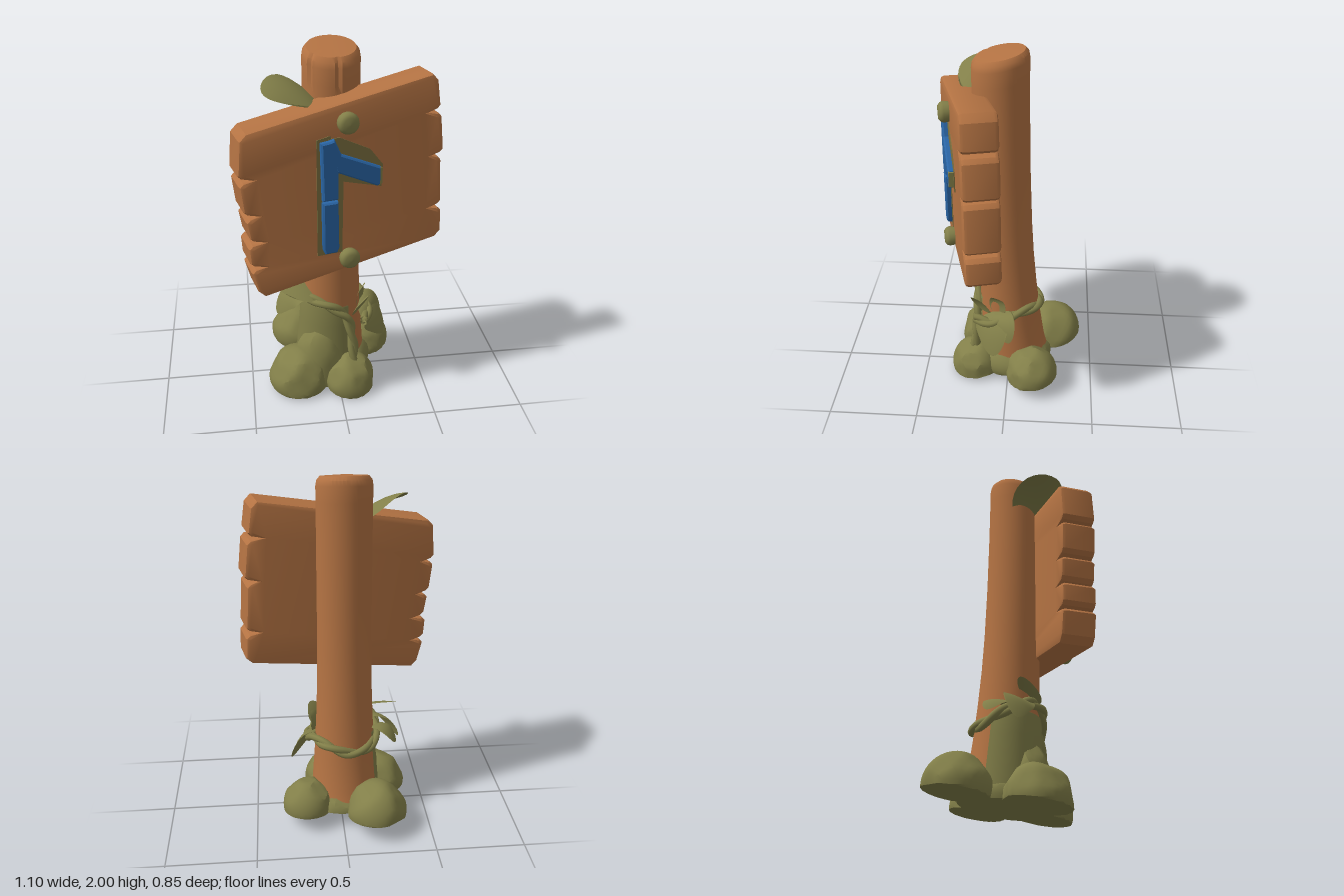
import * as THREE from 'three';
import { toCreasedNormals } from 'three/addons/utils/BufferGeometryUtils.js';

const V = (x, y, z) => new THREE.Vector3(x, y, z);

// the underside lies on a gently sloping plane
const ground = z => 0.052 - 0.157 * z;

// apply a rule to every vertex
function warp(geo, rule) {
  const p = geo.attributes.position, v = V(0, 0, 0);
  for (let i = 0; i < p.count; i++) {
    v.fromBufferAttribute(p, i);
    rule(v);
    p.setXYZ(i, v.x, v.y, v.z);
  }
  geo.computeVertexNormals();
  return geo;
}

// post lean, slanted top and flat foot sunk into the rocks
function bendPost(v) {
  const y = v.y;
  if (y > 1.8) { // splits in the rim
    const a = Math.atan2(v.x, v.z);
    for (const split of [0.131, -0.916]) {
      if (Math.abs(a - split) < 0.04) { v.x *= 0.93; v.z *= 0.93; }
    }
  }
  v.y -= 0.2 * v.z * THREE.MathUtils.smoothstep(y, 1.2, 1.9);
  v.x -= 0.025;
  v.z += 0.045 - 0.08 * (1 - y / 2) ** 2;
  v.y = Math.max(v.y, ground(v.z) + 0.03);
}

// rounded rock: a ball with a few planes shaved off, flattened on the ground
function rock(x, z, rx, ry, rz, seed) {
  let s = seed;
  const rnd = () => (s = (s * 16807) % 2147483647) / 2147483647;
  for (let i = 0; i < 5; i++) rnd();
  const cuts = [];
  for (let i = 0; i < 14; i++) {
    const a = rnd() * Math.PI * 2, h = rnd() * 1.1 - 0.1;
    const r = Math.sqrt(1 - Math.min(1, h * h));
    cuts.push(V(r * Math.cos(a), h, r * Math.sin(a)).normalize());
  }
  const geo = warp(new THREE.IcosahedronGeometry(1, 6), v => {
    for (const c of cuts) {
      const d = v.dot(c);
      if (d > 0.92) v.multiplyScalar(0.92 / d);
    }
    v.set(x + v.x * rx, ground(z) + 0.03 + v.y * ry, z + v.z * rz);
    v.y = Math.max(v.y, ground(v.z));
  });
  return toCreasedNormals(geo, 0.5);
}

// solid curved leaf along base - mid - tip
function leaf(base, mid, tip, width, sideHint) {
  const curve = new THREE.QuadraticBezierCurve3(V(...base), V(...mid), V(...tip));
  const frame = t => {
    const tan = curve.getTangent(t), hint = V(...sideHint);
    const side = hint.clone().addScaledVector(tan, -tan.dot(hint)).normalize();
    return { side, nor: side.clone().cross(tan) };
  };
  const up = Math.sign(frame(0.5).nor.y);
  return warp(new THREE.SphereGeometry(1, 16, 14), v => {
    const t = THREE.MathUtils.clamp((v.y + 1) / 2, 0, 1);
    const { side, nor } = frame(t);
    const w = v.x * width * (1.1 - 0.3 * t);
    const dish = -0.15 * width * v.x * v.x * up;
    v.copy(curve.getPoint(t)).addScaledVector(side, w).addScaledVector(nor, v.z * 0.02 + dish);
  });
}

// flat polygon with bevelled rim
function slab(points, depth, bevel, segments = 2) {
  const shape = new THREE.Shape(points.map(p => new THREE.Vector2(p[0], p[1])));
  const geo = new THREE.ExtrudeGeometry(shape, {
    depth: depth - 2 * bevel, bevelEnabled: bevel > 0, bevelThickness: bevel,
    bevelSize: bevel, bevelOffset: -bevel, bevelSegments: segments,
  });
  geo.translate(0, 0, bevel);
  return toCreasedNormals(geo, 0.4);
}

// one ragged board end, listed upwards; planks are [y0, y1, x0, x1]
function boardEnd(s, planks) {
  const pts = [], last = planks.length - 1;
  planks.forEach(([y0, y1, x0, x1], i) => {
    const c0 = i ? 0.02 : 0.035, c1 = i < last ? 0.02 : 0.035;
    if (i) pts.push([x0 - s * 0.065, (planks[i - 1][1] + y0) / 2]);
    pts.push([x0 - s * c0, y0], [x0, y0 + c0], [x1, y1 - c1], [x1 - s * c1, y1]);
  });
  return pts;
}

export function createModel() {
  const mat = (name, color) => Object.assign(new THREE.MeshStandardMaterial({ color }), { name });
  const wood = mat('wood', 0xb47343);
  const moss = mat('moss', 0x827f49);
  moss.side = THREE.DoubleSide;
  const blue = mat('bluePaint', 0x2a66a6);
  const stain = mat('mossyStain', 0x7c7040);

  const model = new THREE.Group();
  model.name = 'signpost';
  const add = (parent, name, geo, material) => {
    const m = new THREE.Mesh(geo, material);
    m.name = name;
    parent.add(m);
    return m;
  };
  const profile = pts => pts.map(p => new THREE.Vector2(p[0], p[1]));

  // post
  const post = new THREE.LatheGeometry(profile([
    [0, 0], [0.2, 0], [0.19, 0.2], [0.174, 0.4], [0.163, 0.6], [0.155, 0.8], [0.151, 1], [0.149, 1.3],
    [0.148, 1.6], [0.147, 1.79], [0.147, 1.84], [0.147, 1.925], [0.142, 1.954], [0.125, 1.975], [0, 1.982],
  ]), 48);
  add(model, 'post', toCreasedNormals(warp(post, bendPost), 0.6), wood);

  // moss on the front and left of the post foot
  const patch = new THREE.LatheGeometry(profile([
    [0.205, 0.05], [0.197, 0.2], [0.181, 0.4], [0.172, 0.52], [0.16, 0.53],
  ]), 24, -2.1, 2.6);
  add(model, 'mossPatch', warp(patch, bendPost), moss);

  // rocks round the foot, a mossy mound in front and a bed under the post
  const rocks = [
    [-0.225, 0.13, 0.18, 0.18, 0.18, 11], [0.065, 0.19, 0.145, 0.16, 0.15, 23],
    [0.2, -0.145, 0.145, 0.16, 0.15, 37], [-0.19, -0.255, 0.172, 0.175, 0.175, 59],
    [-0.085, 0.1, 0.18, 0.32, 0.13, 71], [-0.015, -0.03, 0.225, 0.16, 0.225, 83],
  ];
  rocks.forEach((r, i) => add(model, 'rock' + (i + 1), rock(...r), moss));

  // board, turned a little to the side
  const board = new THREE.Group();
  board.name = 'board';
  board.position.z = 0.215;
  board.rotation.y = 0.23;
  model.add(board);
  const right = boardEnd(1, [
    [0.95, 1.125, 0.55, 0.545], [1.145, 1.42, 0.54, 0.525], [1.44, 1.655, 0.535, 0.515], [1.675, 1.86, 0.505, 0.485],
  ]);
  const left = boardEnd(-1, [
    [0.78, 0.95, -0.475, -0.505], [0.967, 1.09, -0.51, -0.515], [1.107, 1.237, -0.505, -0.52],
    [1.255, 1.43, -0.53, -0.545], [1.448, 1.675, -0.55, -0.535],
  ]);
  add(board, 'plank', slab([...right, ...left.reverse()], 0.184, 0.02).translate(0, 0, -0.092), wood);

  // mossy stain and painted mark
  const stains = [
    [[-0.16, 0.97], [-0.025, 0.97], [-0.02, 1.4], [-0.09, 1.615], [-0.16, 1.6]],
    [[-0.07, 1.38], [0.185, 1.31], [0.19, 1.43], [0.12, 1.52], [-0.04, 1.6], [-0.1, 1.6]],
  ];
  stains.forEach((p, i) =>
    add(board, 'stain' + (i + 1), slab(p, 0.006, 0).translate(0, 0, 0.09 + i * 0.001), stain));
  const strokes = [
    [[-0.125, 0.985], [-0.06, 0.985], [-0.05, 1.01], [-0.055, 1.272], [-0.138, 1.272], [-0.135, 1.01]],
    [[-0.137, 1.283], [-0.055, 1.283], [-0.055, 1.44], [-0.075, 1.595], [-0.145, 1.588]],
    [[-0.065, 1.43], [0.155, 1.325], [0.172, 1.335], [0.172, 1.425], [-0.04, 1.52], [-0.075, 1.6], [-0.11, 1.59]],
  ];
  strokes.forEach((p, i) =>
    add(board, 'paintedStroke' + (i + 1), slab(p, 0.045, 0.008, 1).translate(0, 0, 0.08), blue));
  const strokeEnd = [[0.165, 1.33], [0.178, 1.34], [0.178, 1.42], [0.165, 1.425]];
  add(board, 'mossyStrokeEnd', slab(strokeEnd, 0.043, 0).translate(0, 0, 0.08), moss);

  // pegs
  for (const [x, y] of [[-0.005, 1.675], [0.01, 0.935]]) {
    const peg = new THREE.LatheGeometry(profile([
      [0.05, 0], [0.055, 0.035], [0.05, 0.05], [0.035, 0.062], [0, 0.064],
    ]), 16).rotateX(Math.PI / 2);
    add(board, 'peg', peg, moss).position.set(x, y, 0.085);
  }

  // twisted vine
  const path = new THREE.CatmullRomCurve3([
    V(0.085, 0.17, 0.2), V(0.075, 0.33, 0.185), V(0.04, 0.47, 0.18), V(-0.06, 0.55, 0.18),
    V(-0.165, 0.57, 0.11), V(-0.21, 0.52, -0.01), V(-0.15, 0.46, -0.13), V(-0.03, 0.46, -0.18),
    V(0.09, 0.5, -0.15), V(0.16, 0.49, -0.04), V(0.185, 0.44, 0.07), V(0.14, 0.44, 0.19),
  ]);
  for (const phase of [0, Math.PI]) {
    const pts = [];
    for (let i = 0; i <= 70; i++) {
      const t = i / 70, p = path.getPointAt(t), a = t * 30 + phase;
      const tan = path.getTangentAt(t);
      const out = V(p.x + 0.025, 0, p.z).normalize();
      const across = out.clone().cross(tan).normalize();
      pts.push(p.addScaledVector(out, 0.01 * Math.cos(a)).addScaledVector(across, 0.012 * Math.sin(a)));
    }
    add(model, 'vineStrand', new THREE.TubeGeometry(new THREE.CatmullRomCurve3(pts), 140, 0.02, 8), moss);
  }

  // leaves: base, mid, tip, half width, side direction
  const leaves = [
    [[-0.1, 1.72, 0.08], [-0.22, 1.87, 0.17], [-0.37, 1.81, 0.27], 0.135, [0.6, -0.45, 0.68]],
    [[-0.11, 0.58, 0.14], [-0.22, 0.65, 0.1], [-0.34, 0.64, 0.06], 0.065, [-0.1, -0.4, 0.8]],
    [[-0.15, 0.56, 0.07], [-0.28, 0.62, 0.04], [-0.34, 0.43, 0.03], 0.09, [-0.28, 0.27, -0.76]],
    [[-0.18, 0.54, -0.02], [-0.27, 0.6, -0.07], [-0.31, 0.48, -0.12], 0.07, [0.45, 0.2, -0.8]],
    [[0.12, 0.47, 0.11], [0.22, 0.47, 0.1], [0.28, 0.28, 0.08], 0.115, [0.38, 0.33, -0.84]],
    [[0.12, 0.49, 0.05], [0.24, 0.52, 0.02], [0.27, 0.37, -0.01], 0.07, [0.3, 0.25, -0.9]],
    [[0.1, 0.46, 0.13], [0.11, 0.55, 0.15], [0.17, 0.6, 0.17], 0.075, [0.6, 0, -0.7]],
    [[0.14, 0.46, 0.05], [0.11, 0.56, 0.06], [0.17, 0.6, 0.04], 0.06, [0.5, 0, -0.8]],
  ];
  leaves.forEach((l, i) => add(model, 'leaf' + (i + 1), leaf(...l), moss));

  return model;
}
